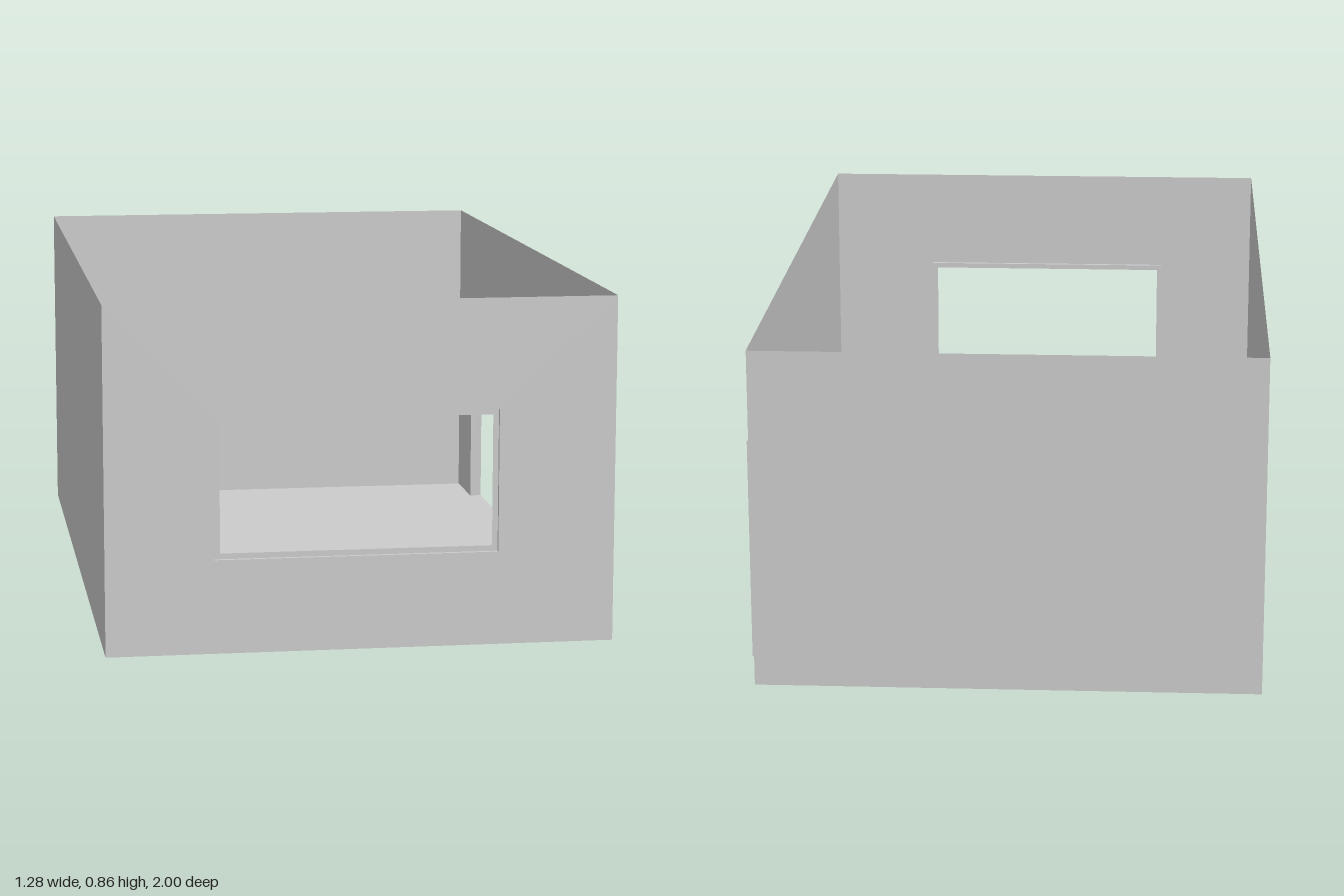
import * as THREE from 'three';

const material = new THREE.MeshStandardMaterial({ color: 0xcccccc, side: THREE.DoubleSide, flatShading: true });

// Room extents
const LEFT = -0.642, RIGHT = 0.61, BACK = -1, FRONT = 1, HEIGHT = 0.858;
// Openings as [u0, v0, u1, v1]; the door wall uses u = -z
const DOOR = [0.43, 0, 0.81, 0.572], DOOR_DEPTH = 0.032;
const WINDOW = [-0.376, 0.232, 0.321, 0.585], WINDOW_DEPTH = 0.01, BORDER = 0.014;

const corners = ([a, b, c, d]) => [[a, b], [c, b], [c, d], [a, d]].map(([u, v]) => new THREE.Vector2(u, v));

// Flat rectangular sheet, optionally with a rectangular hole
function sheet(name, rect, hole) {
  const shape = new THREE.Shape(corners(rect));
  if (hole) shape.holes.push(new THREE.Path(corners(hole).reverse()));
  const mesh = new THREE.Mesh(new THREE.ShapeGeometry(shape), material);
  mesh.name = name;
  return mesh;
}

// Four thin reveal sheets around an opening, running from local z = 0 to depth
function reveal(name, [a, b, c, d], depth) {
  const group = new THREE.Group();
  group.name = name;
  for (const [side, v] of [['Bottom', b], ['Top', d]]) {
    const m = sheet(name + side, [a, 0, c, depth]);
    m.rotation.x = Math.PI / 2;
    m.position.y = v;
    group.add(m);
  }
  for (const [side, u] of [['Near', a], ['Far', c]]) {
    const m = sheet(name + side, [0, b, depth, d]);
    m.rotation.y = -Math.PI / 2;
    m.position.x = u;
    group.add(m);
  }
  return group;
}

export function createModel() {
  const room = new THREE.Group();
  room.name = 'room';

  // Floor
  const floor = sheet('floor', [LEFT, -FRONT, RIGHT, -BACK]);
  floor.rotation.x = -Math.PI / 2;

  // Plain walls
  const backWall = sheet('backWall', [LEFT, 0, RIGHT, HEIGHT]);
  backWall.position.z = BACK;
  const sideWall = sheet('plainSideWall', [-FRONT, 0, -BACK, HEIGHT]);
  sideWall.rotation.y = Math.PI / 2;
  sideWall.position.x = LEFT;

  // Front wall with a recessed window border
  const frontWall = new THREE.Group();
  frontWall.name = 'frontWall';
  frontWall.position.z = FRONT;
  const [a, b, c, d] = WINDOW;
  const border = sheet('windowBorder', WINDOW, [a + BORDER, b + BORDER, c - BORDER, d - BORDER]);
  border.position.z = -WINDOW_DEPTH;
  frontWall.add(
    sheet('windowWall', [LEFT, 0, RIGHT, HEIGHT], WINDOW),
    reveal('windowReveal', WINDOW, -WINDOW_DEPTH),
    border
  );

  // Side wall with a doorway whose reveal projects outward; built as strips around the door
  const doorWall = new THREE.Group();
  doorWall.name = 'doorWall';
  doorWall.rotation.y = Math.PI / 2;
  doorWall.position.x = RIGHT;
  doorWall.add(
    sheet('wallBeforeDoor', [-FRONT, 0, DOOR[0], HEIGHT]),
    sheet('wallAboveDoor', [DOOR[0], DOOR[3], DOOR[2], HEIGHT]),
    sheet('wallAfterDoor', [DOOR[2], 0, -BACK, HEIGHT]),
    reveal('doorReveal', DOOR, DOOR_DEPTH)
  );

  room.add(floor, backWall, sideWall, frontWall, doorWall);
  return room;
}
